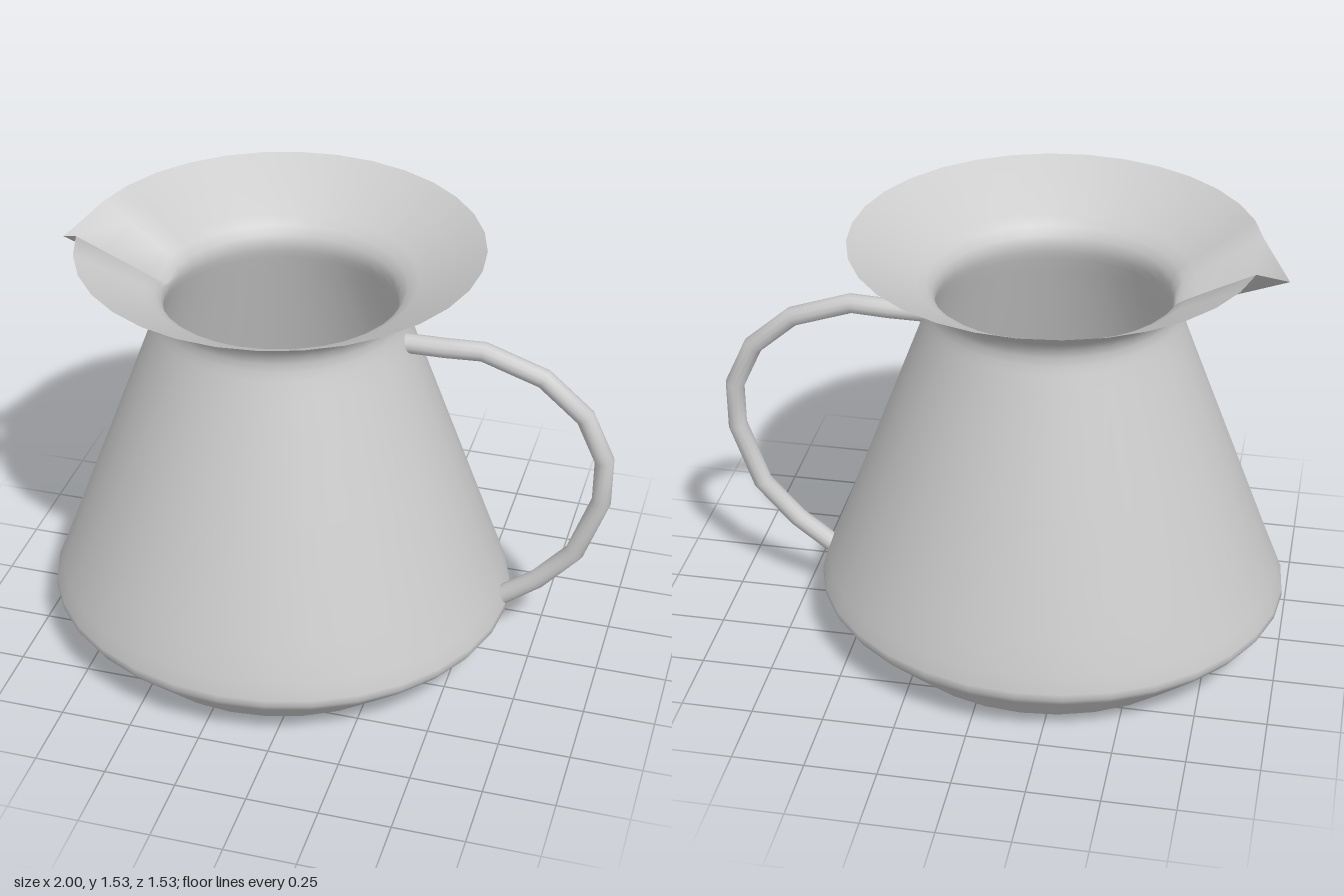
import * as THREE from 'three';

const SIDES = 32;
const CX = -0.17; // body axis, offset to leave room for the handle
const HANDLE_Z = -0.025;
const NECK = { y: 1.32, r: 0.42 };
const RIM_R = 0.69;
const TIP = { y: 1.45, r: 0.78 };

// body cross-sections: height, x radius, z radius, z centre
const RINGS = [
  [0, 0.5, 0.5, -0.005],
  [0.004, 0.56, 0.56, -0.005],
  [0.014, 0.605, 0.6, -0.005],
  [0.035, 0.64, 0.63, -0.003],
  [0.17, 0.81, 0.752, 0],
  [0.195, 0.828, 0.766, 0],
  [0.22, 0.826, 0.766, 0],
  [0.28, 0.802, 0.75, -0.001],
  [0.4, 0.755, 0.716, -0.004],
  [0.8, 0.605, 0.584, -0.014],
  [1.2, 0.455, 0.452, -0.024],
  [1.26, 0.434, 0.432, -0.025],
  [1.29, 0.425, 0.424, -0.025],
  [NECK.y, NECK.r, 0.42, -0.025],
  [1.35, 0.427, 0.427, -0.025],
  [1.38, 0.447, 0.447, -0.025],
  [1.405, 0.482, 0.482, -0.025],
  [1.47, 0.585, 0.585, -0.025],
  [1.535, RIM_R, 0.695, -0.025],
];

// Lofted shell; the column facing -x above the neck is drawn out into the spout
function shell(rings, wall, inward) {
  const pos = [], idx = [];
  for (const [y, rx, rz, cz] of rings) {
    const u = y > NECK.y ? Math.max(0, (rx - NECK.r) / (RIM_R - NECK.r)) : 0;
    const thick = wall * (1 - u);
    for (let j = 0; j < SIDES; j++) {
      const a = (j / SIDES) * Math.PI * 2;
      const spout = j === SIDES / 2 && u > 0;
      const r = spout ? THREE.MathUtils.lerp(NECK.r, TIP.r, u) : rx;
      const h = spout ? THREE.MathUtils.lerp(NECK.y, TIP.y, u) : y;
      pos.push(CX + Math.cos(a) * (r - thick), h, cz + Math.sin(a) * (rz - thick));
    }
  }
  const tri = (a, b, c) => (inward ? idx.push(a, c, b) : idx.push(a, b, c));
  for (let i = 0; i < rings.length - 1; i++) {
    for (let j = 0; j < SIDES; j++) {
      const k = (j + 1) % SIDES;
      const a = i * SIDES + j, b = i * SIDES + k;
      tri(a, a + SIDES, b);
      tri(b, a + SIDES, b + SIDES);
    }
  }
  // floor fan
  const centre = pos.length / 3;
  pos.push(CX, rings[0][0], rings[0][3]);
  for (let j = 0; j < SIDES; j++) tri(centre, j, (j + 1) % SIDES);
  const geo = new THREE.BufferGeometry();
  geo.setAttribute('position', new THREE.Float32BufferAttribute(pos, 3));
  geo.setIndex(idx);
  geo.computeVertexNormals();
  return geo;
}

// Straight segments between points, with mitred corners
class Polyline extends THREE.Curve {
  constructor(points) {
    super();
    this.points = points;
  }
  getPoint(t, target = new THREE.Vector3()) {
    const n = this.points.length - 1;
    const i = Math.min(Math.floor(t * n), n - 1);
    return target.lerpVectors(this.points[i], this.points[i + 1], t * n - i);
  }
  getPointAt(t, target) { return this.getPoint(t, target); }
  getTangentAt(t, target) { return this.getTangent(t, target); }
}

export function createModel() {
  const group = new THREE.Group();
  const material = new THREE.MeshStandardMaterial({ color: 0xcccccc, side: THREE.DoubleSide });
  const add = (name, geometry) => {
    const mesh = new THREE.Mesh(geometry, material);
    mesh.name = name;
    group.add(mesh);
    return mesh;
  };

  // jug: outer wall with spout, and a slightly smaller inner wall
  add('outerBody', shell(RINGS, 0, false));
  const innerRings = RINGS.slice(2).map(([y, ...rest]) => [Math.max(y, 0.03), ...rest]);
  add('innerBody', shell(innerRings, 0.02, true));

  // handle: faceted bow from neck to shoulder
  const path = [
    [0.255, 1.222], [0.4, 1.224], [0.535, 1.231], [0.745, 1.16], [0.892, 1.033],
    [0.967, 0.872], [0.967, 0.705], [0.887, 0.475], [0.762, 0.333], [0.635, 0.235],
  ].map(([x, y]) => new THREE.Vector3(x, y, HANDLE_Z));
  add('handle', new THREE.TubeGeometry(new Polyline(path), path.length - 1, 0.034, 12));

  // caps closing the handle ends
  [[path[0], path[1]], [path.at(-1), path.at(-2)]].forEach(([end, next], i) => {
    const cap = add(i ? 'lowerHandleCap' : 'upperHandleCap', new THREE.CircleGeometry(0.034, 12));
    cap.position.copy(end);
    cap.quaternion.setFromUnitVectors(new THREE.Vector3(0, 0, 1), end.clone().sub(next).normalize());
  });

  return group;
}
